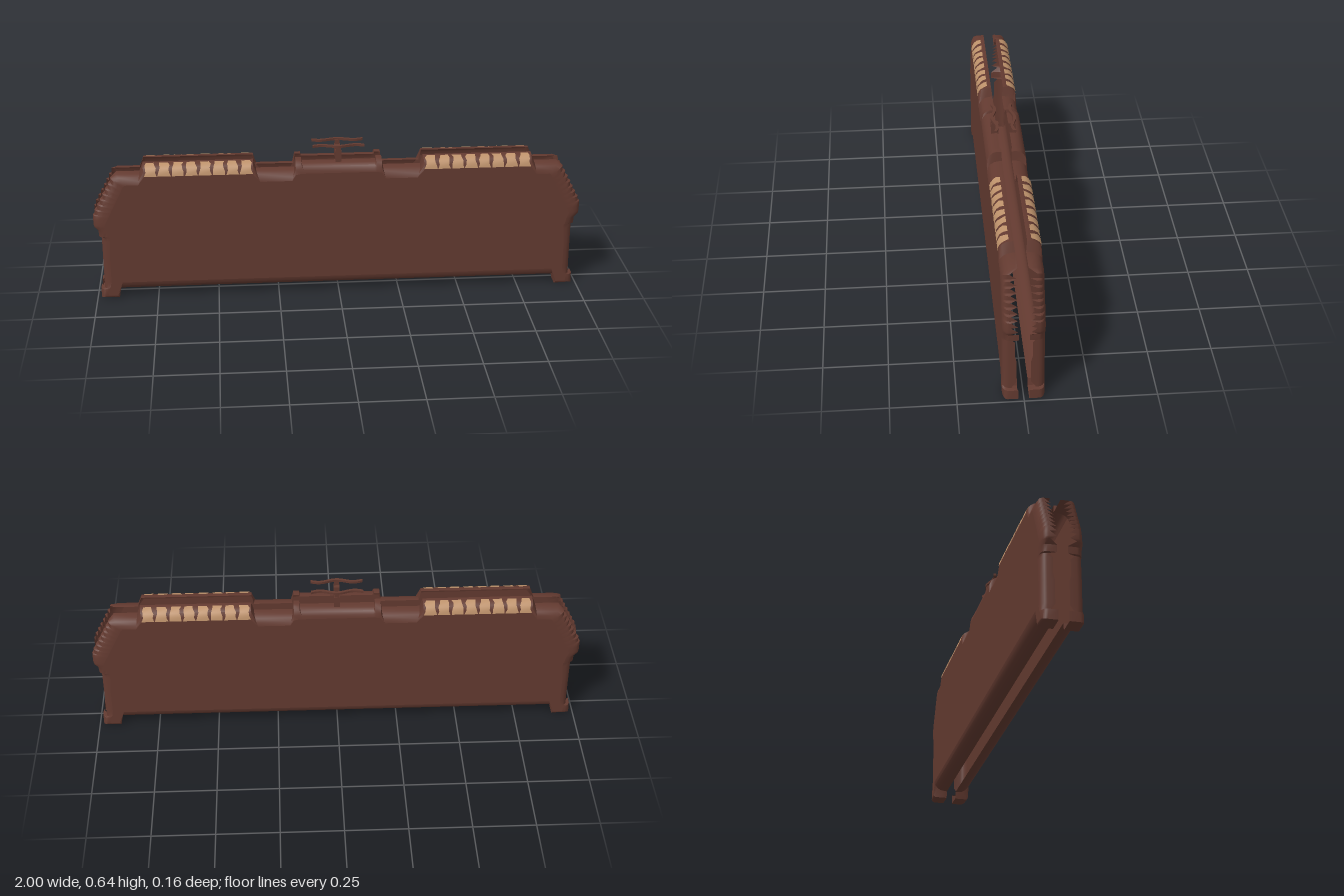
import * as THREE from 'three';
import { mergeVertices, toCreasedNormals } from 'three/addons/utils/BufferGeometryUtils.js';

const brown = new THREE.MeshStandardMaterial({ color: 0x633a30, side: THREE.DoubleSide });
brown.name = 'dark brown';
const tan = new THREE.MeshStandardMaterial({ color: 0xbe926b, side: THREE.DoubleSide });
tan.name = 'tan';

const FACE_Z = 0.08;

// One side of the outline, bottom centre to top centre:
// outer x, y | flat panel x, y | z where the rounding ends | z of the inner lip
function halfOutline() {
  const pts = [
    [0.905, 0.03, 0.895, 0.07, 0.03, 0.02],
    [0.91, 0, 0.915, 0.012, 0.07, 0.02],
    [0.985, 0, 0.955, 0.012, 0.06, 0.02],
    [0.985, 0.04, 0.955, 0.04, 0.055, 0.02],
    [0.97, 0.042, 0.945, 0.05, 0.055, 0.046],
    [0.97, 0.07, 0.94, 0.075, 0.055, 0.027],
    [0.97, 0.165, 0.94, 0.165, 0.055, 0.027],
    [0.97, 0.19, 0.94, 0.19, 0.055, 0.033],
    [0.97, 0.255, 0.935, 0.255, 0.055, 0.033],
    [0.97, 0.27, 0.935, 0.27, 0.055, 0.048],
    [0.98, 0.272, 0.94, 0.275, 0.055, 0.02],
    [0.982, 0.3, 0.945, 0.3, 0.055, 0.02],
    [0.998, 0.315, 0.952, 0.315, 0.055, 0.05],
  ];
  // Stepped, saw-toothed edge up the sloping shoulder
  const teeth = 9;
  for (let i = 0; i < teeth; i++) {
    const a = i / teeth, b = (i + 0.85) / teeth;
    const x = 1 - 0.09 * Math.max(0, (a - 0.15) / 0.85);
    pts.push([x, 0.325 + 0.205 * a, 0.955 - 0.085 * a, 0.325 + 0.17 * a, 0.055, 0.024]);
    pts.push([x, 0.325 + 0.205 * b, 0.955 - 0.085 * b, 0.325 + 0.17 * b, 0.055, 0.05]);
  }
  pts.push(
    [0.9, 0.54, 0.865, 0.5, 0.03, 0.02],
    [0.805, 0.54, 0.81, 0.5, 0.03, 0.02],
    [0.79, 0.58, 0.785, 0.535, 0.035, 0.025],
    [0.345, 0.58, 0.35, 0.535, 0.035, 0.025],
    [0.335, 0.54, 0.32, 0.5, 0.03, 0.02],
    [0.18, 0.54, 0.19, 0.5, 0.03, 0.02],
    [0.175, 0.58, 0.175, 0.525, 0.04, 0.02],
    [0.152, 0.58, 0.152, 0.53, 0.04, 0.02],
    [0.15, 0.568, 0.14, 0.53, 0.04, 0.025],
  );
  return pts;
}

// Rounded rim: the flat panel's edge rolls outward, then turns in to the lip
function rimGeometry(outline) {
  const steps = 4, n = outline.length, pos = [], index = [];
  for (let k = 0; k <= steps + 1; k++) {
    const a = (Math.min(k, steps) / steps) * Math.PI / 2, s = Math.sin(a);
    for (const [x, y, ix, iy, base, lip] of outline) {
      const z = k > steps ? lip : base + (FACE_Z - base) * Math.cos(a);
      pos.push(ix + (x - ix) * s, iy + (y - iy) * s, z);
    }
  }
  for (let k = 0; k <= steps; k++) {
    for (let i = 0; i < n; i++) {
      const j = (i + 1) % n, a = k * n + i, d = k * n + j;
      index.push(a, a + n, d + n, a, d + n, d);
    }
  }
  const g = new THREE.BufferGeometry();
  g.setAttribute('position', new THREE.Float32BufferAttribute(pos, 3));
  g.setIndex(index);
  return toCreasedNormals(mergeVertices(g), 0.7);
}

// Ragged row of thin plates following the rounded top edge
function patchGeometry(side) {
  const count = 8, x0 = 0.347, step = 0.055, rows = 4, pos = [], index = [];
  for (let c = 0; c < count; c++) {
    const start = pos.length / 3;
    for (let r = 0; r <= rows; r++) {
      const t = r / rows, a = 0.02 + t * 1.45;
      const y = 0.535 + 0.046 * Math.sin(a), z = 0.037 + 0.045 * Math.cos(a);
      const half = 0.0275 - 0.003 * (r > 0) - 0.005 * t - 0.002 * ((c + r) % 3);
      const mid = x0 + (c + 0.5) * step + 0.004 * Math.sin(c * 2.1 + r * 1.7) * t;
      pos.push(side * mid - half, y, z, side * mid + half, y, z);
      if (r < rows) {
        const i = start + r * 2;
        index.push(i, i + 1, i + 3, i, i + 3, i + 2);
      }
    }
  }
  const g = new THREE.BufferGeometry();
  g.setAttribute('position', new THREE.Float32BufferAttribute(pos, 3));
  g.setIndex(index);
  g.computeVertexNormals();
  return g;
}

// Wavy crossbar
function barGeometry() {
  const g = new THREE.BoxGeometry(0.21, 0.009, 0.012, 16, 1, 1), p = g.attributes.position;
  for (let i = 0; i < p.count; i++) {
    p.setZ(i, p.getZ(i) + 0.038 + 0.008 * Math.cos(p.getX(i) * 45));
  }
  g.computeVertexNormals();
  return g;
}

function makeHalf(name) {
  const half = new THREE.Group();
  half.name = name;
  const add = (part, geometry, material = brown) => {
    const m = new THREE.Mesh(geometry, material);
    m.name = part;
    half.add(m);
    return m;
  };
  const right = halfOutline();
  const left = right.map(([x, y, ix, ...rest]) => [-x, y, -ix, ...rest]).reverse();
  const outline = [...right, ...left];

  const shape = new THREE.Shape(outline.map(p => new THREE.Vector2(p[2], p[3])));
  add('flatPanel', new THREE.ShapeGeometry(shape)).position.z = FACE_Z;
  add('roundedRim', rimGeometry(outline));
  add('leftTopPatches', patchGeometry(1), tan);
  add('rightTopPatches', patchGeometry(-1), tan);

  // Small T-shaped handle on the top edge
  add('handleStem', new THREE.BoxGeometry(0.024, 0.048, 0.03)).position.set(0, 0.587, 0.035);
  add('handleNeck', new THREE.BoxGeometry(0.02, 0.022, 0.012)).position.set(0, 0.62, 0.043);
  add('handleBar', barGeometry()).position.y = 0.631;
  return half;
}

export function createModel() {
  const model = new THREE.Group();
  model.name = 'splitPanel';
  const back = makeHalf('backHalf');
  back.rotation.y = Math.PI;
  model.add(makeHalf('frontHalf'), back);
  return model;
}
